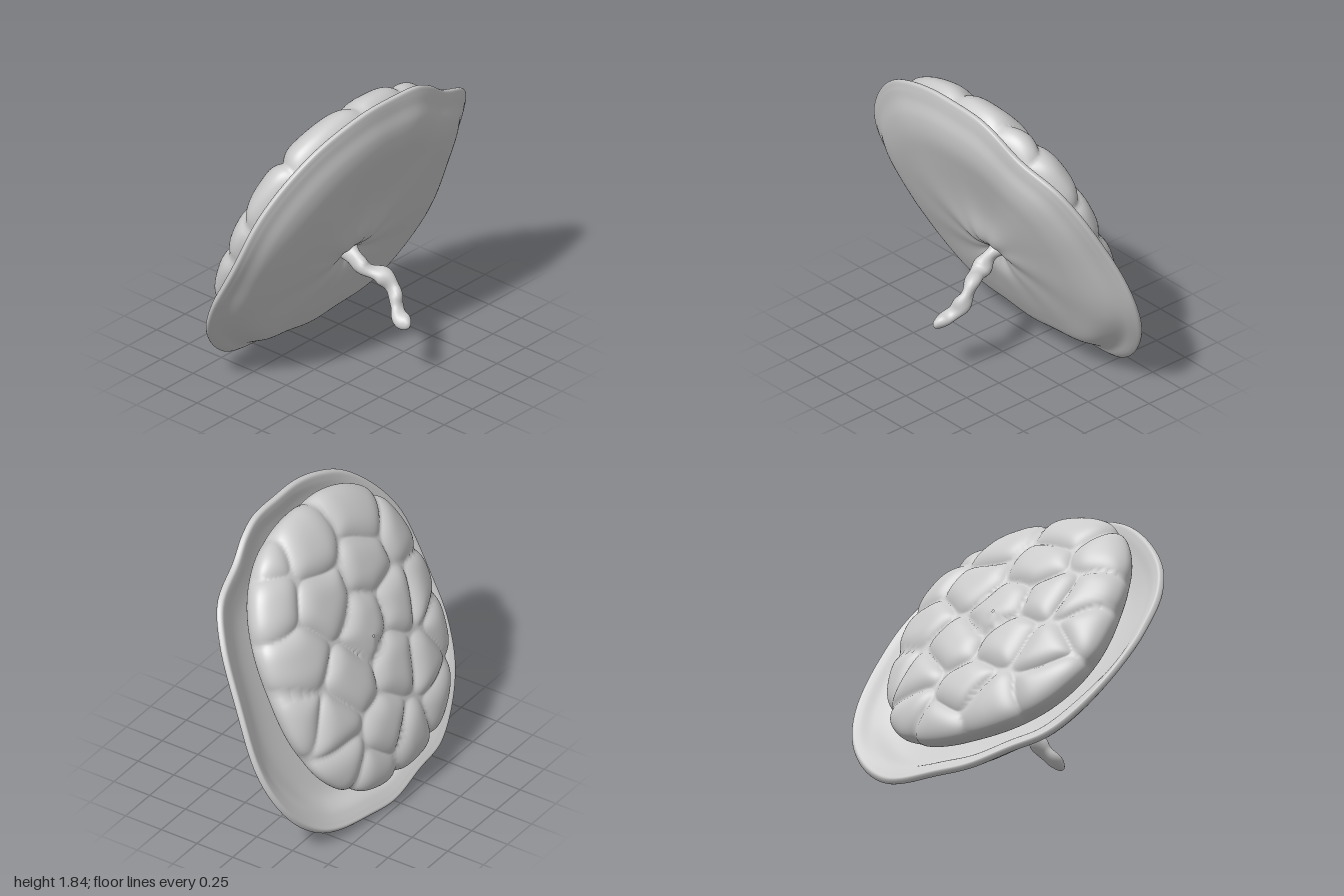
import * as THREE from 'three';

const TILT = 0.4257, CENTRE_Y = 0.925, CENTRE_Z = -0.03;
const material = new THREE.MeshStandardMaterial({ color: 0xcccccc });

// Smooth surface from closed rings; point(i, j) gives the vertex on ring i.
function loft(name, rings, segs, point) {
  const pos = [], idx = [];
  for (let i = 0; i <= rings; i++) {
    for (let j = 0; j < segs; j++) {
      pos.push(...point(i / rings, j / segs));
      if (i === rings) continue;
      const k = (j + 1) % segs;
      const a = i * segs + j, b = a + segs, c = (i + 1) * segs + k, d = i * segs + k;
      idx.push(a, b, c, a, c, d);
    }
  }
  const geo = new THREE.BufferGeometry();
  geo.setAttribute('position', new THREE.Float32BufferAttribute(pos, 3));
  geo.setIndex(idx);
  geo.computeVertexNormals();
  const mesh = new THREE.Mesh(geo, material);
  mesh.name = name;
  return mesh;
}

const blob = (x, y, cx, cy, r) => Math.exp(-((x - cx) ** 2 + (y - cy) ** 2) / (r * r));

// Shallow cap with an irregular rim, a puckered middle and a thin flared lip.
function makeCap() {
  const outline = new THREE.CatmullRomCurve3([
    [0, 1.84], [-0.2, 1.835], [-0.4, 1.79], [-0.6, 1.7], [-0.8, 1.52], [-0.95, 1.3],
    [-1, 1.1], [-0.995, 0.83], [-0.97, 0.65], [-0.87, 0.4], [-0.7, 0.2], [-0.52, 0.085],
    [-0.28, 0.05], [0, 0.005], [0.25, 0.03], [0.5, 0.07], [0.65, 0.13], [0.82, 0.27],
    [0.95, 0.48], [1, 0.72], [0.95, 1.1], [0.87, 1.38], [0.75, 1.56], [0.5, 1.68],
    [0.35, 1.78], [0.22, 1.83],
  ].map(([x, y]) => new THREE.Vector3(x, (y - CENTRE_Y) / Math.cos(TILT), 0)), true);
  // x = share of the outline, y = depth towards the front
  const profile = new THREE.CatmullRomCurve3([
    [0.002, 0.185], [0.2, 0.187], [0.4, 0.178], [0.6, 0.162], [0.75, 0.14], [0.85, 0.1],
    [0.92, 0.05], [0.97, 0.02], [1, -0.005], [0.985, -0.03], [0.95, -0.02],
    [0.88, 0.02], [0.75, 0.07], [0.5, 0.1], [0.002, 0.11],
  ].map(([s, n]) => new THREE.Vector3(s, n, 0)));
  // where the rim bends forwards or backwards: x, y, radius, amount
  const bends = [
    [0.55, 0.75, 0.35, 0.035], [1, 0.02, 0.3, -0.015], [0.65, -0.8, 0.35, 0.04],
    [-1, 0.15, 0.35, 0.04], [-0.8, -0.55, 0.3, -0.015],
  ];
  const SEGS = 160;
  const rim = Array.from({ length: SEGS }, (_, j) => outline.getPoint(j / SEGS));

  return loft('cap', 90, SEGS, (t, w) => {
    const p = profile.getPoint(t), s = p.x, e = rim[Math.round(w * SEGS)];
    const x = e.x * s, y = e.y * s - 0.14 * (1 - s);
    let n = p.y;
    const a = Math.atan2(y + 0.14, x), r = Math.hypot(x, y + 0.14);
    if (t < 0.5) {
      // folds running out from the stem, with hollows around it
      const fold = Math.sin(3 * a + 0.3) + 0.6 * Math.sin(8 * a + 3 * r);
      n += 0.016 * fold * (r / 0.25) * Math.exp(-r / 0.22);
      n -= 0.045 * blob(x, y, 0, -0.17, 0.1) + 0.02 * blob(x, y, 0.05, 0.38, 0.3);
      n += 0.035 * blob(x, y, 0, 0, 0.14);
    }
    // steeper step above the lower lip
    const low = THREE.MathUtils.smoothstep(-y, 0.3, 0.75);
    n -= 0.03 * low * Math.exp(-(((s - 0.87) / 0.07) ** 2));
    for (const [cx, cy, radius, amount] of bends) n += amount * s ** 4 * blob(x, y, cx, cy, radius);
    return [x, y, n];
  });
}

// Puffy cushion on the back, divided into rounded cells.
function makeCushion() {
  const seeds = [
    [-0.4, 0.7], [0.14, 0.72], [-0.7, 0.42], [-0.28, 0.4], [0.55, 0.58], [0.18, 0.4],
    [-0.06, 0.11], [-0.4, 0.1], [0.55, 0.17], [0.2, -0.14], [-0.21, -0.24], [-0.66, 0.04],
    [0.44, -0.3], [0.06, -0.52], [0.68, -0.14], [0.48, -0.58], [0.2, -0.76], [-0.47, -0.36],
    [0.42, 0.84], [-0.17, -0.72], [-0.53, -0.62], [-0.75, -0.25],
  ];
  // softened distance to the nearest cell borders, which rounds the corners
  const border = (x, y) => {
    const near = seeds.map((s) => [Math.hypot(x - s[0], y - s[1]), s]).sort((p, q) => p[0] - q[0]);
    const [d1, s1] = near[0];
    let sum = 0;
    for (const [d, s] of near.slice(1, 8)) {
      sum += Math.exp(-45 * (d * d - d1 * d1) / (2 * Math.hypot(s[0] - s1[0], s[1] - s1[1])));
    }
    return Math.max(0, -Math.log(sum) / 45);
  };
  const signedPow = (v, e) => Math.sign(v) * Math.abs(v) ** e;

  return loft('cushion', 150, 260, (t, w) => {
    // sweep from the hidden underside round the edge to the middle of the back
    const f = THREE.MathUtils.lerp(-0.75, Math.PI / 2 - 0.0005, t);
    const a = w * Math.PI * 2;
    const r = Math.cos(f) ** 0.62, h = signedPow(Math.sin(f), 0.8);
    let x = -0.055 + 0.775 * r * signedPow(Math.cos(a), 0.8);
    let y = 0.03 + 0.865 * r * signedPow(Math.sin(a), 0.8);
    const wx = x + 0.015 * Math.sin(11 * y), wy = y + 0.015 * Math.sin(12 * x + 1);
    const k = 1 - Math.min(1, border(wx, wy) / 0.16);
    const puff = (1 - k ** 3) * THREE.MathUtils.smoothstep(h, -0.5, 0.3);
    const grow = 0.975 + 0.04 * puff * r * r;
    x = -0.055 + (x + 0.055) * grow;
    y = 0.03 + (y - 0.03) * grow;
    return [x, y, -0.075 - (0.16 + 0.02 * y) * h - 0.05 * puff * Math.max(0, h)];
  });
}

// Twisted, lumpy stem with a rounded tip.
function makeStem() {
  const path = new THREE.CatmullRomCurve3([
    [0, 0.74, 0.0], [-0.01, 0.69, 0.09], [0.0, 0.635, 0.17], [0.04, 0.61, 0.27],
    [0.06, 0.53, 0.34], [0.035, 0.46, 0.385], [0, 0.41, 0.44], [-0.015, 0.38, 0.525],
  ].map((p) => new THREE.Vector3(...p)));
  const RINGS = 90;
  const frames = path.computeFrenetFrames(RINGS);
  return loft('stem', RINGS, 24, (t, w) => {
    const i = Math.round(t * RINGS), a = w * Math.PI * 2;
    const tip = Math.sqrt(Math.max(0.0005, 1 - Math.max(0, (t - 0.92) / 0.08) ** 2));
    const r = (0.05 - 0.01 * t) * tip * (1 + 0.16 * Math.cos(2 * a + 16 * t) + 0.12 * Math.sin(30 * t));
    return path.getPointAt(t)
      .addScaledVector(frames.normals[i], r * Math.cos(a))
      .addScaledVector(frames.binormals[i], -r * Math.sin(a))
      .toArray();
  });
}

export function createModel() {
  const model = new THREE.Group();
  const head = new THREE.Group();
  head.name = 'head';
  head.rotation.x = TILT;
  head.position.set(0, CENTRE_Y, CENTRE_Z);
  head.add(makeCap(), makeCushion());
  model.add(head, makeStem());
  return model;
}
